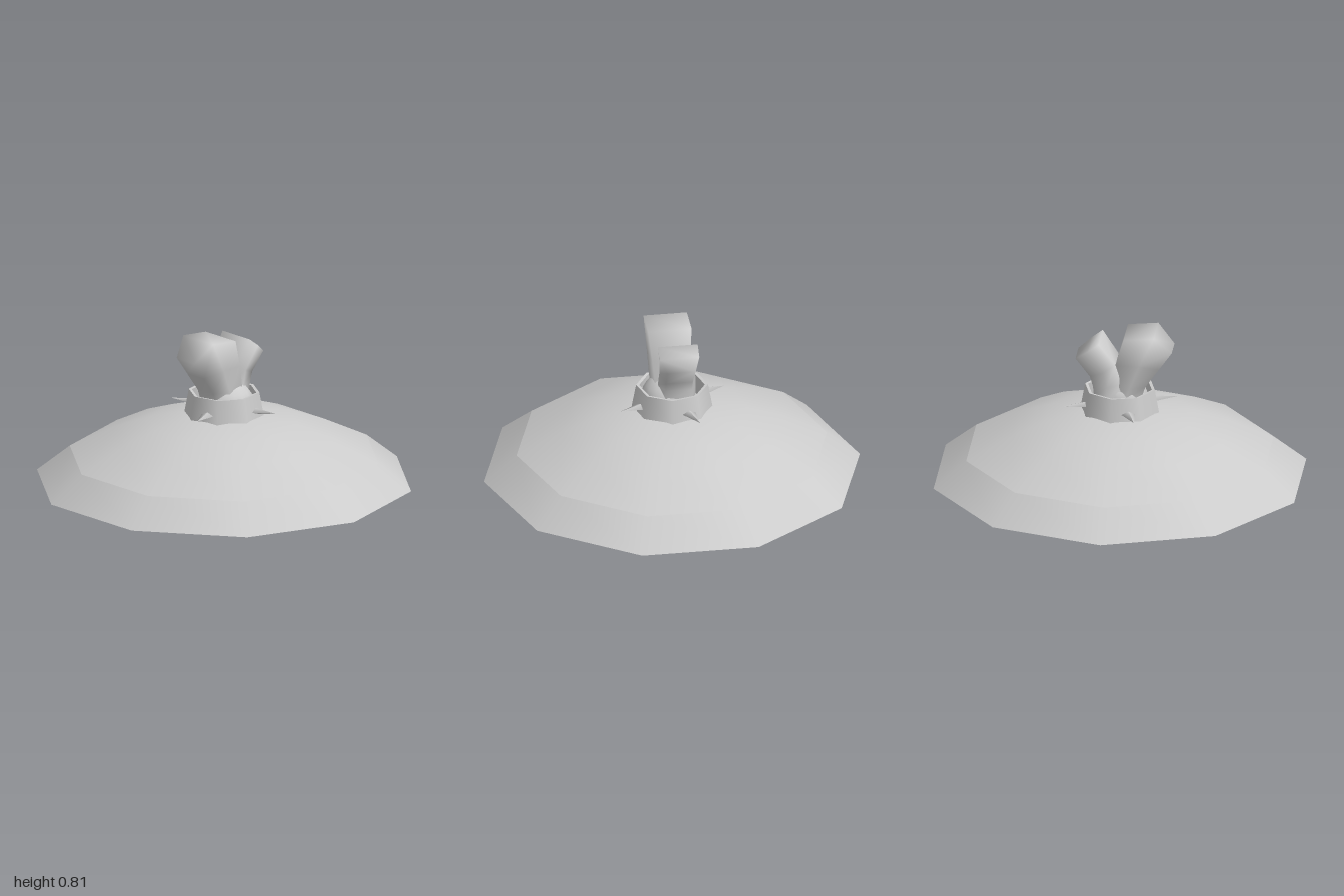
import * as THREE from 'three';

const grey = new THREE.MeshStandardMaterial({ color: 0xcccccc, side: THREE.DoubleSide });
grey.name = 'plainGrey';

function add(parent, name, geometry) {
  const mesh = new THREE.Mesh(geometry, grey);
  mesh.name = name;
  parent.add(mesh);
  return mesh;
}

const lathe = (points, sides, start = 0) =>
  new THREE.LatheGeometry(points.map(([r, y]) => new THREE.Vector2(r, y)), sides, start);

// Six-sided tube with a folded cap. Each ring lists left, middle and right
// corners as [x, y, half depth]; every corner is mirrored about zMid.
function flatTube(rings, zMid) {
  const positions = [], index = [], n = 6;
  for (const [l, m, r] of rings) {
    for (const [p, s] of [[l, 1], [m, 1], [r, 1], [r, -1], [m, -1], [l, -1]]) {
      positions.push(p[0], p[1], zMid + s * p[2]);
    }
  }
  for (let i = 0; i < rings.length - 1; i++) {
    for (let j = 0; j < n; j++) {
      const a = i * n + j, b = i * n + (j + 1) % n;
      index.push(a, b, b + n, a, b + n, a + n);
    }
  }
  const t = (rings.length - 1) * n;
  index.push(t, t + 1, t + 4, t, t + 4, t + 5, t + 1, t + 2, t + 3, t + 1, t + 3, t + 4);
  const g = new THREE.BufferGeometry();
  g.setAttribute('position', new THREE.Float32BufferAttribute(positions, 3));
  g.setIndex(index);
  g.computeVertexNormals();
  return g;
}

export function createModel() {
  const model = new THREE.Group();
  model.name = 'spikedDome';

  // Ten-sided dome; the steeper rim is separate to keep its edge crisp
  add(model, 'domeRim', lathe([[1, 0], [0.825, 0.142]], 10));
  add(model, 'domeCap', lathe([[0.825, 0.142], [0.585, 0.26], [0.4, 0.328], [0.2, 0.373], [0, 0.385]], 10));

  // Shallow conical underside running from the rim to the middle
  add(model, 'domeUnderside', lathe([[0, 0.37], [1, 0]], 10));

  // Eight-sided collar with a thin lip and an inner wall
  const collar = new THREE.Group();
  collar.name = 'collar';
  model.add(collar);
  const turn = Math.PI / 2 - THREE.MathUtils.degToRad(8);
  add(collar, 'collarWall', lathe([[0.212, 0.366], [0.188, 0.495]], 8, turn));
  add(collar, 'collarLip', lathe([[0.188, 0.495], [0.172, 0.493]], 8, turn));
  add(collar, 'collarInside', lathe([[0.172, 0.493], [0.18, 0.375]], 8, turn));

  // Four diamond-section spikes
  for (let i = 0; i < 4; i++) {
    const cone = new THREE.ConeGeometry(1, 0.14, 4, 1, true);
    cone.scale(0.018, 1, 0.042);
    cone.rotateZ(-Math.PI / 2);
    cone.translate(0.24, 0.41, 0);
    cone.rotateY(THREE.MathUtils.degToRad(19.5) + i * Math.PI / 2);
    add(collar, 'spike', cone);
  }

  // Rounded stump inside the collar, open below and tipped forward so that
  // its front edge just breaks through the underside
  const stump = new THREE.SphereGeometry(1, 12, 7, 0, Math.PI * 2, 0, 2.4);
  stump.scale(0.145, 0.13, 0.14);
  stump.rotateX(0.3);
  stump.translate(0, 0.43, 0.025);
  add(model, 'stump', stump);

  // Two stalks leaning apart
  add(model, 'largeStalk', flatTube([
    [[-0.12, 0.46, 0.06], [-0.04, 0.46, 0.1], [0.05, 0.46, 0.08]],
    [[-0.14, 0.52, 0.06], [-0.06, 0.52, 0.105], [0.04, 0.53, 0.09]],
    [[-0.21, 0.62, 0.065], [-0.11, 0.65, 0.11], [0.015, 0.65, 0.1]],
    [[-0.28, 0.72, 0.07], [-0.19, 0.815, 0.115], [-0.03, 0.8, 0.115]],
  ], 0.006));
  add(model, 'smallStalk', flatTube([
    [[-0.03, 0.46, 0.07], [0.06, 0.46, 0.1], [0.125, 0.46, 0.07]],
    [[-0.02, 0.54, 0.07], [0.06, 0.53, 0.1], [0.135, 0.53, 0.07]],
    [[0.015, 0.655, 0.085], [0.08, 0.61, 0.095], [0.15, 0.58, 0.07]],
    [[0.1, 0.775, 0.105], [0.16, 0.73, 0.105], [0.225, 0.68, 0.075]],
  ], -0.015));

  return model;
}
